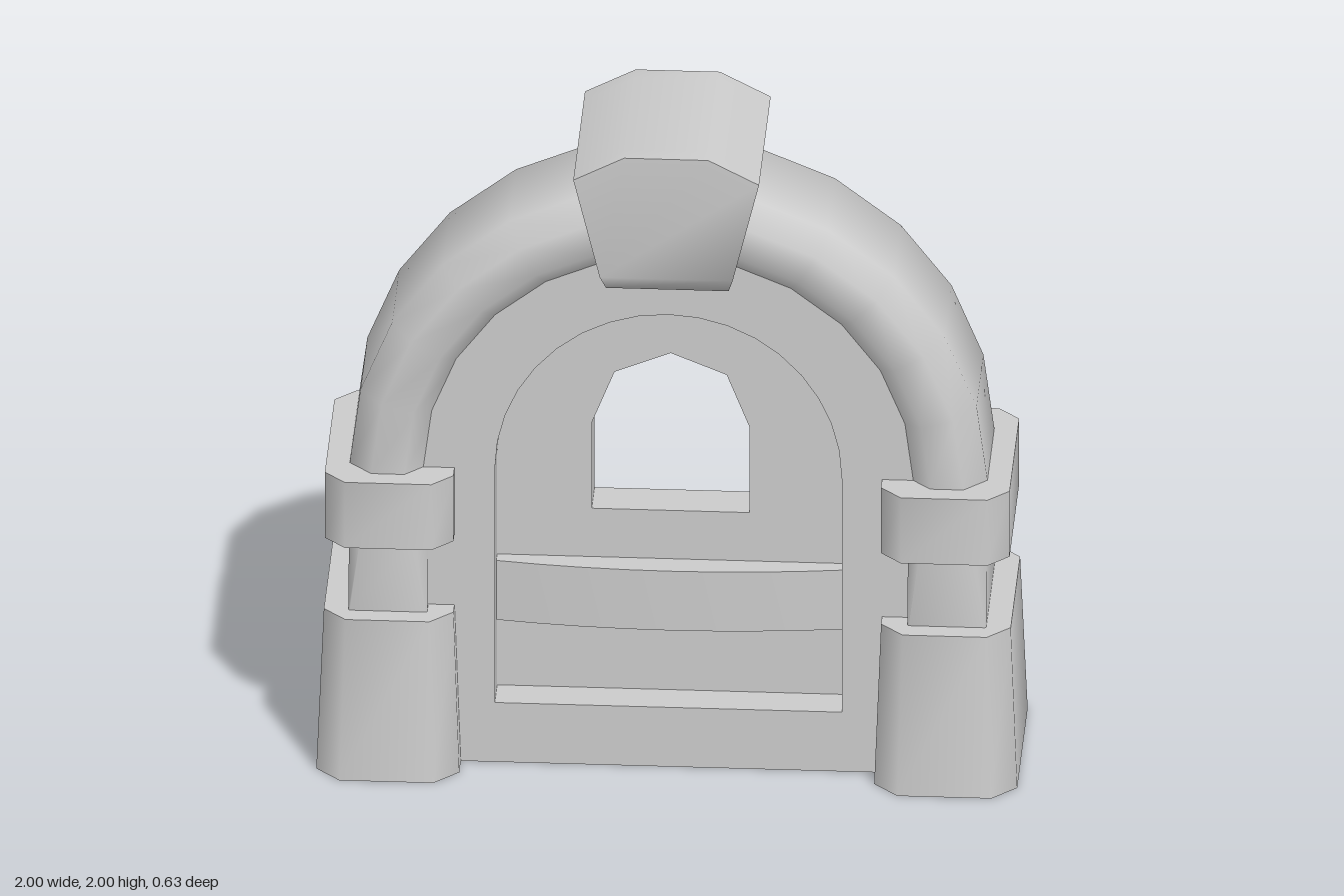
import * as THREE from 'three';
import { toCreasedNormals } from 'three/addons/utils/BufferGeometryUtils.js';

const SPRING = 0.94; // height where the arches begin
const stone = new THREE.MeshStandardMaterial({ color: 0xcccccc });

function part(name, geometry, crease = 0.9) {
  const mesh = new THREE.Mesh(toCreasedNormals(geometry, crease), stone);
  mesh.name = name;
  return mesh;
}

// Skin a row of equal closed rings ([x, y, z] corners) and cap both ends.
function loft(rings) {
  const n = rings[0].length, last = (rings.length - 1) * n, index = [];
  for (let i = 0; i < rings.length - 1; i++) {
    for (let j = 0; j < n; j++) {
      const a = i * n + j, b = i * n + (j + 1) % n;
      index.push(a, b, b + n, a, b + n, a + n);
    }
  }
  for (let j = 1; j < n - 1; j++) {
    index.push(0, j + 1, j, last, last + j, last + j + 1);
  }
  const geometry = new THREE.BufferGeometry();
  geometry.setAttribute('position', new THREE.Float32BufferAttribute(rings.flat(2), 3));
  geometry.setIndex(index);
  return geometry;
}

// Rectangle with cut corners: u runs along z, v across
function cutRect(u, v0, v1, c) {
  return [[u - c, v0], [u, v0 + c], [u, v1 - c], [u - c, v1],
    [c - u, v1], [-u, v1 - c], [-u, v0 + c], [c - u, v0]];
}

// Outline of a doorway with a round top
function archOutline(target, half, bottom, rise, steps) {
  target.moveTo(-half, bottom).lineTo(half, bottom);
  for (let i = 0; i <= steps; i++) {
    const a = Math.PI * i / steps;
    target.lineTo(half * Math.cos(a), SPRING + rise * Math.sin(a));
  }
  target.closePath();
  return target;
}

function extrude(shape, depth) {
  return new THREE.ExtrudeGeometry(shape, { depth, bevelEnabled: false, curveSegments: 8 });
}

// Upright block with cut corners, from a lower to an upper section
function block(y0, y1, lower, upper) {
  return loft([[y0, lower], [y1, upper]].map(([y, s]) =>
    cutRect(...s).map(([z, x]) => [x, y, z])));
}

// Both legs and the round top in one sweep; the cut corners fade out down the legs
function archRing() {
  const leg = [0.3, 0.5, 0.73];
  const section = (c) => cutRect(0.226, 0.685, 0.91, c);
  const legRing = (y, side) => section(Math.max(0.004, 0.065 * (y - 0.5) / 0.44))
    .map(([z, r]) => [side * r, y, z]);
  const rings = leg.map((y) => legRing(y, 1));
  for (let i = 0; i <= 12; i++) {
    const a = Math.PI * i / 12;
    rings.push(section(0.065).map(([z, r]) => [r * Math.cos(a), SPRING + r * Math.sin(a), z]));
  }
  leg.reverse().forEach((y) => rings.push(legRing(y, -1)));
  return loft(rings);
}

export function createModel() {
  const model = new THREE.Group();

  // Wall with an arched opening
  const wallShape = archOutline(new THREE.Shape(), 0.76, 0, 0.76, 24);
  wallShape.holes.push(archOutline(new THREE.Path(), 0.495, 0.19, 0.51, 18));
  model.add(part('wall', extrude(wallShape, 0.35).translate(0, 0, -0.175)));

  // Thin recessed panel with the window
  const panelShape = archOutline(new THREE.Shape(), 0.53, 0.15, 0.55, 18);
  const windowHole = [[-0.225, 0.765], [-0.225, 1.04], [-0.16, 1.205], [0, 1.27],
    [0.16, 1.205], [0.225, 1.04], [0.225, 0.765]];
  panelShape.holes.push(new THREE.Path(windowHole.map((p) => new THREE.Vector2(...p))));
  model.add(part('windowPanel', extrude(panelShape, 0.13).translate(0, 0, -0.065), 0.3));

  // Bowed rail below the window, on both faces
  const railShape = new THREE.Shape();
  railShape.moveTo(-0.5, -0.105).quadraticCurveTo(0, -0.18, 0.5, -0.105);
  railShape.lineTo(0.5, 0.105).quadraticCurveTo(0, 0.18, -0.5, 0.105).closePath();
  model.add(part('rail', extrude(railShape, 0.19).rotateX(-Math.PI / 2).translate(0, 0.42, 0)));

  model.add(part('arch', archRing()));

  // Keystone, its lower front and back edges cut away
  const keystoneRing = (z, y) => {
    const w = 0.175 + (y - 1.555) * 0.243;
    return [[-w, y], [w, y], [0.265, 1.925], [0.12, 2], [-0.12, 2], [-0.265, 1.925]]
      .map(([px, py]) => [px, py, z]);
  };
  model.add(part('keystone', loft([keystoneRing(-0.275, 1.615), keystoneRing(-0.222, 1.555),
    keystoneRing(0.222, 1.555), keystoneRing(0.275, 1.615)])));

  // Plinth and band on each leg
  for (const [side, s] of [['left', 1], ['right', -1]]) {
    const span = (u, a, b, c) => (s > 0 ? [u, a, b, c] : [u, -b, -a, c]);
    model.add(part(side + 'Plinth',
      block(0, 0.5, span(0.317, 0.592, 1, 0.07), span(0.285, 0.61, 0.98, 0.065))));
    const band = span(0.285, 0.61, 0.977, 0.06);
    model.add(part(side + 'Band', block(0.73, 0.94, band, band)));
  }
  return model;
}
